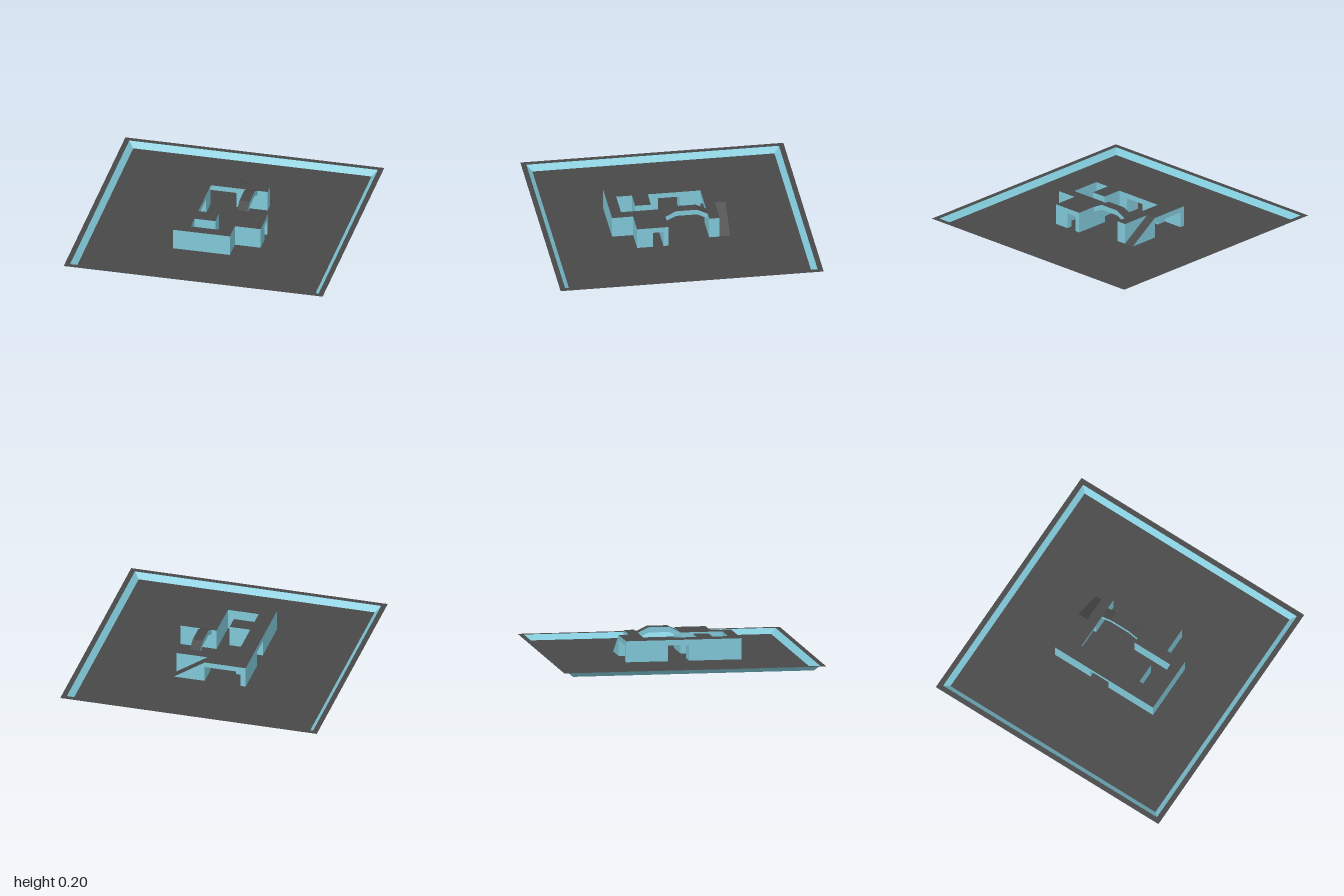
import * as THREE from 'three';

const dark = new THREE.MeshStandardMaterial({ color: 0x484848, side: THREE.DoubleSide });
dark.name = 'charcoal';
const teal = new THREE.MeshStandardMaterial({ color: 0x80c8d8, side: THREE.DoubleSide });
teal.name = 'teal';

// Plan outlines are lists of [x, z]
const rect = (x0, x1, z0, z1) => [[x0, z0], [x0, z1], [x1, z1], [x1, z0]];
const square = (r) => [[-r, -r], [r, -r], [r, r], [-r, r]];
const toPoints = (outline) => outline.map(([x, z]) => new THREE.Vector2(x, -z));

export function createModel() {
  const group = new THREE.Group();

  function add(name, geometry, material) {
    const mesh = new THREE.Mesh(geometry, material);
    mesh.name = name;
    group.add(mesh);
    return mesh;
  }

  // Horizontal surface at height y
  function slab(name, outline, y, holes = []) {
    const shape = new THREE.Shape(toPoints(outline));
    holes.forEach((h) => shape.holes.push(new THREE.Path(toPoints(h))));
    const g = new THREE.ShapeGeometry(shape);
    g.rotateX(-Math.PI / 2).translate(0, y, 0);
    add(name, g, dark);
  }

  // Flat faces from a list of triangles
  function faces(name, points, material) {
    const g = new THREE.BufferGeometry();
    g.setAttribute('position', new THREE.Float32BufferAttribute(points.flat(), 3));
    g.computeVertexNormals();
    add(name, g, material);
  }

  // Wall strip between a lower and an upper outline
  function wall(name, low, y0, y1, closed = true, high = low) {
    const points = [];
    const count = closed ? low.length : low.length - 1;
    for (let i = 0; i < count; i++) {
      const j = (i + 1) % low.length;
      const a = [low[i][0], y0, low[i][1]], b = [low[j][0], y0, low[j][1]];
      const c = [high[j][0], y1, high[j][1]], d = [high[i][0], y1, high[i][1]];
      points.push(a, b, c, a, c, d);
    }
    faces(name, points, teal);
  }

  const lintel = 0.12, roof = 0.16;

  // Footprints of the solid lower walls
  const backLeft = [[-0.24, -0.4], [-0.28, -0.4], [-0.28, -0.08], [-0.16, -0.08], [-0.16, -0.24], [-0.24, -0.24]];
  const rampBlock = [[0.04, -0.4], [0.04, -0.24], [0.28, -0.24], [0.28, -0.32]];
  const court = [
    [0.36, 0.08], [0.08, 0.08], [0.08, 0.4], [-0.16, 0.4], [-0.16, 0.28],
    [0, 0.28], [0, 0.16], [-0.16, 0.16],
  ];
  const frontBlock = [
    [-0.28, 0.08], [-0.28, 0.48], [0.16, 0.48], [0.16, 0.32], [0.36, 0.32],
    [0.36, 0.2], [0.32, 0.2], [0.32, 0.28], [0.12, 0.28], [0.12, 0.12], [0.36, 0.12],
    ...court, [-0.16, 0.08],
  ];
  // Outline of the roof, ending at the ramp
  const roofEdge = [
    [0.04, -0.4], [-0.28, -0.4], [-0.28, 0.48], [0.16, 0.48], [0.16, 0.32], [0.36, 0.32],
    ...court, [-0.16, -0.24], [0.28, -0.24], [0.28, -0.32],
  ];

  // Sunken base: rim, sloped sides and floor
  slab('rim', square(1), 0.04, [square(0.96)]);
  wall('baseSlopes', square(0.92), 0, 0.04, true, square(0.96));
  slab('floor', square(0.92), 0, [backLeft, rect(0.04, 0.28, -0.4, -0.24), frontBlock]);

  // Building walls, with doorways below the lintel
  wall('backLeftWalls', backLeft, 0, lintel);
  wall('frontWalls', frontBlock, 0, lintel);
  wall('rampBlockWalls', rampBlock, 0, lintel, false);
  wall('upperWalls', roofEdge, lintel, roof, false);
  slab('roof', [...roofEdge, [0.04, -0.32]], roof);

  // Ceilings over the passages and the small room
  slab('sidePassageCeiling', rect(-0.28, -0.16, -0.08, 0.08), lintel);
  slab('backPassageCeiling', rect(-0.24, 0.04, -0.4, -0.24), lintel);
  slab('roomCeiling', rect(0.12, 0.32, 0.12, 0.28), lintel);
  slab('doorCeiling', rect(0.32, 0.36, 0.12, 0.2), lintel);

  // Ramp up to the roof
  const r0 = [0.04, roof, -0.4], r1 = [0.04, roof, -0.32];
  const r2 = [0.28, 0, -0.32], r3 = [0.28, 0, -0.4];
  faces('ramp', [r0, r1, r2, r0, r2, r3], dark);
  faces('rampSides', [
    r3, [0.04, 0, -0.4], r0,
    r1, [0.28, roof, -0.32], r2,
    [0.04, lintel, -0.4], [0.04, lintel, -0.32], r1,
    [0.04, lintel, -0.4], r1, r0,
  ], teal);

  // Raised footbridge across the open side of the court
  const profile = [
    [-0.08, 0.16], [-0.08, 0.12], [0, 0.16], [0.16, 0.16],
    [0.24, 0.12], [0.24, 0.16], [0.16, 0.2], [0, 0.2],
  ].map(([u, v]) => new THREE.Vector2(u, v));
  const bridge = new THREE.ExtrudeGeometry(new THREE.Shape(profile), { depth: 0.08, bevelEnabled: false });
  bridge.rotateY(Math.PI / 2).translate(0.12, 0, 0);
  add('bridge', bridge, [teal, dark]);

  return group;
}
